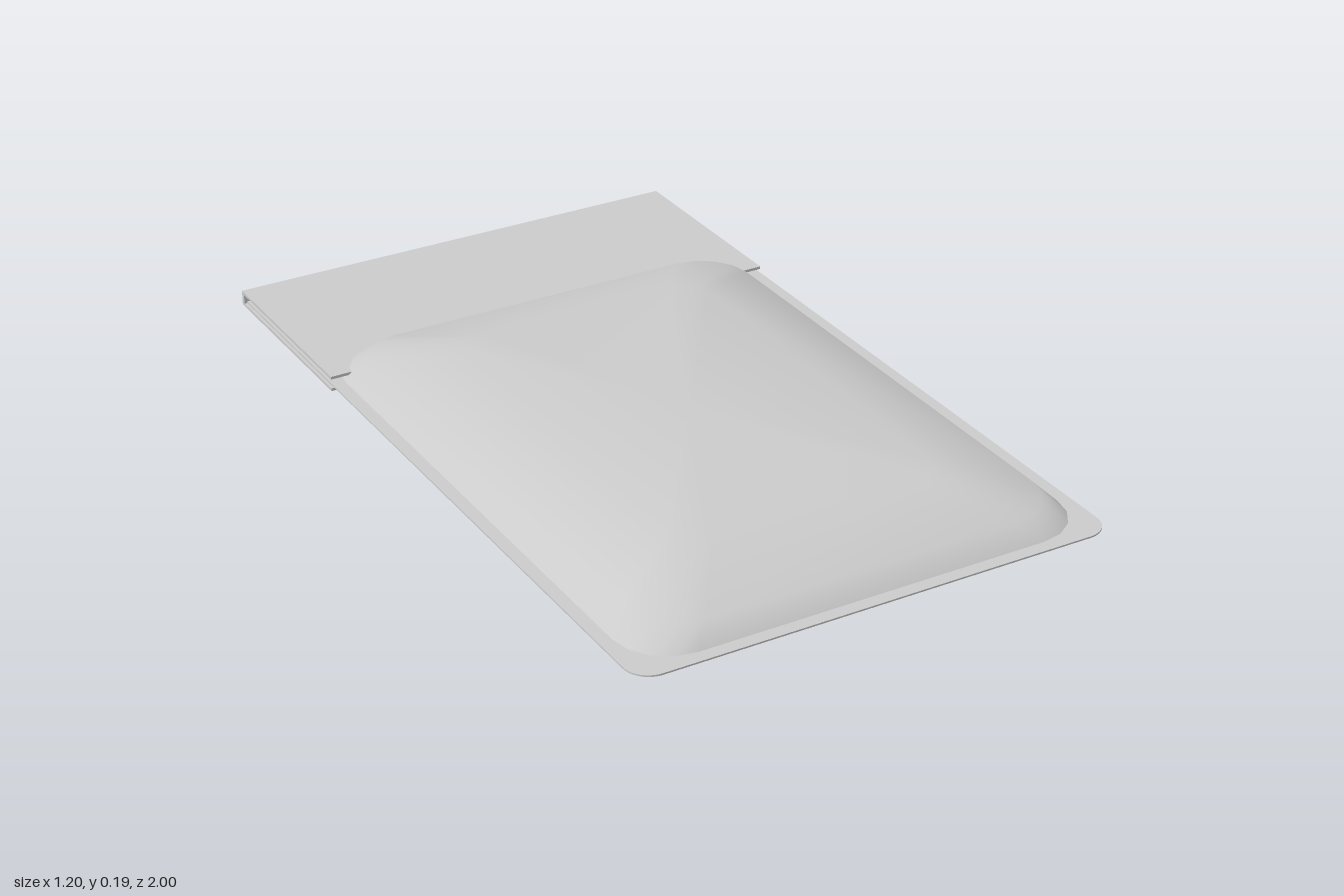
import * as THREE from 'three';

const MID = 0.093; // height of the bag's seam
const material = new THREE.MeshStandardMaterial({ color: 0xcccccc, side: THREE.DoubleSide });

// Rounded rectangle outline as [x, z] pairs, the same point count for any size
function outline(halfX, halfZ, radius, steps = 4) {
  const points = [];
  [[1, 1], [-1, 1], [-1, -1], [1, -1]].forEach(([sx, sz], corner) => {
    for (let i = 0; i <= steps; i++) {
      const a = (corner + i / steps) * Math.PI / 2;
      points.push([
        sx * (halfX - radius) + radius * Math.cos(a),
        sz * (halfZ - radius) + radius * Math.sin(a),
      ]);
    }
  });
  return points;
}

// One domed half of the filled bag, lofted from the seam to the flat centre
function domeGeometry() {
  // inset, height, corner radius
  const rings = [[0, 0, 0.13], [0.045, 0.045, 0.13], [0.235, 0.097, 0.07]];
  const positions = [], index = [];
  let n = 0;
  rings.forEach(([inset, y, radius]) => {
    const ring = outline(0.57 - inset, 0.78 - inset, radius);
    n = ring.length;
    ring.forEach(([x, z]) => positions.push(x, y, z));
  });
  positions.push(0, 0.097, 0);
  const centre = rings.length * n;
  for (let r = 0; r < rings.length; r++) {
    for (let j = 0; j < n; j++) {
      const a = r * n + j, b = r * n + (j + 1) % n;
      if (r === rings.length - 1) index.push(centre, b, a);
      else index.push(a, a + n, b, b, a + n, b + n);
    }
  }
  const geometry = new THREE.BufferGeometry();
  geometry.setAttribute('position', new THREE.Float32BufferAttribute(positions, 3));
  geometry.setIndex(index);
  geometry.computeVertexNormals();
  return geometry;
}

function addMesh(group, name, geometry) {
  const mesh = new THREE.Mesh(geometry, material);
  mesh.name = name;
  group.add(mesh);
  return mesh;
}

export function createModel() {
  const model = new THREE.Group();
  model.name = 'sealedPacket';

  // Swollen body: two domes meeting in a sharp seam
  const dome = domeGeometry();
  const top = addMesh(model, 'bagTop', dome);
  top.position.set(0, MID, 0.19);
  const bottom = addMesh(model, 'bagBottom', dome);
  bottom.position.copy(top.position);
  bottom.scale.y = 0.093 / 0.097;
  bottom.rotation.z = Math.PI;

  // Flat sealed rim, rounded at its two front corners
  const w = 0.6, r = 0.06, front = 1, back = -0.97;
  const rim = new THREE.Shape();
  rim.moveTo(-w, back);
  rim.lineTo(w, back);
  rim.lineTo(w, front - r);
  rim.absarc(w - r, front - r, r, 0, Math.PI / 2);
  rim.lineTo(-w + r, front);
  rim.absarc(-w + r, front - r, r, Math.PI / 2, Math.PI);
  rim.closePath();
  const rimMesh = addMesh(model, 'sealedRim',
    new THREE.ExtrudeGeometry(rim, { depth: 0.004, bevelEnabled: false, curveSegments: 5 }));
  rimMesh.rotation.x = Math.PI / 2;
  rimMesh.position.y = MID + 0.002;

  // Header card folded over the back end, a U profile drawn as (-z, y)
  const outer = 0.019, inner = 0.012;
  const fold = new THREE.Shape([
    [0.47, outer], [0.47, inner], [0.988, inner], [0.988, -inner],
    [0.47, -inner], [0.47, -outer], [1, -outer], [1, outer],
  ].map(([x, y]) => new THREE.Vector2(x, y)));
  const card = addMesh(model, 'headerCard',
    new THREE.ExtrudeGeometry(fold, { depth: 2 * w, bevelEnabled: false }));
  card.rotation.y = Math.PI / 2;
  card.position.set(-w, MID, 0);

  return model;
}
